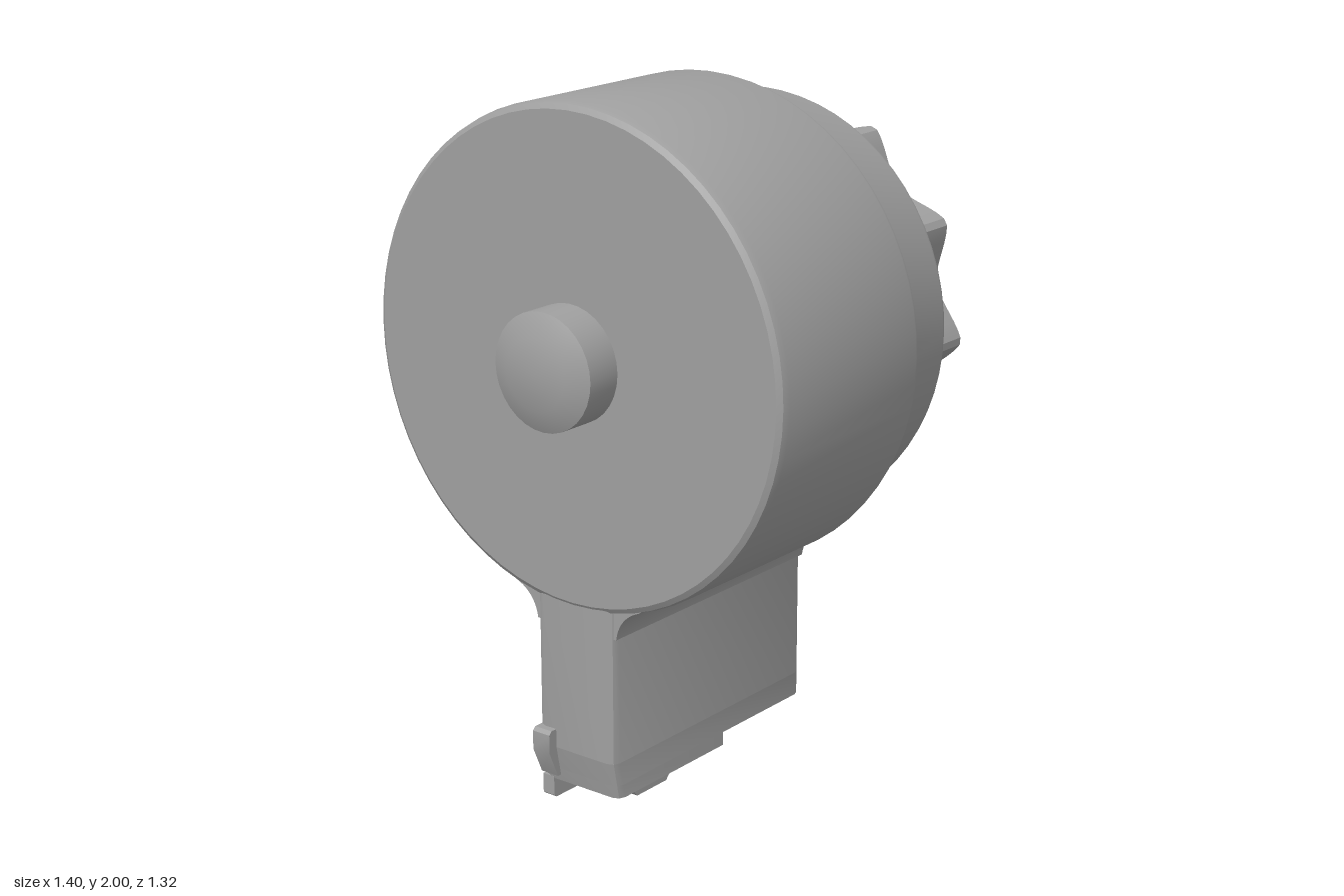
import * as THREE from 'three';
import { toCreasedNormals } from 'three/addons/utils/BufferGeometryUtils.js';

const CY = 1.3; // height of the drum axis

export function createModel() {
  const model = new THREE.Group();
  const grey = new THREE.MeshStandardMaterial({ color: 0xa0a0a0 });
  grey.name = 'grey polymer';

  const add = (name, geo, x = 0, y = 0, z = 0) => {
    const mesh = new THREE.Mesh(toCreasedNormals(geo, 0.5), grey);
    mesh.name = name;
    mesh.position.set(x, y, z);
    model.add(mesh);
    return mesh;
  };
  const shapeOf = (pts) => new THREE.Shape(pts.map(([a, b]) => new THREE.Vector2(a, b)));
  const extrude = (shape, depth) =>
    new THREE.ExtrudeGeometry(shape, { depth, bevelEnabled: false, curveSegments: 10 });

  // Turned parts: profile of [radius, z] pairs, from back to front
  const turned = (name, profile, segments) => {
    const geo = new THREE.LatheGeometry(profile.map(([r, z]) => new THREE.Vector2(r, z)), segments);
    add(name, geo.rotateX(Math.PI / 2), 0, CY, 0);
  };
  turned('drumBody', [[0, -0.36], [0.605, -0.36], [0.615, -0.354], [0.62, -0.34], [0.62, -0.125],
    [0.628, -0.11], [0.642, -0.103], [0.685, -0.103], [0.696, -0.098], [0.7, -0.085],
    [0.7, 0.49], [0.695, 0.51], [0.68, 0.52], [0, 0.52]], 64);
  turned('frontButton', [[0.165, 0.51], [0.165, 0.63], [0.1, 0.66], [0, 0.66]], 32);
  turned('backPin', [[0, -0.66], [0.098, -0.66], [0.11, -0.65], [0.114, -0.635], [0.114, -0.585],
    [0.125, -0.565], [0.13, -0.55]], 32);

  // Winding knob with ten scalloped grips
  const knobPts = [];
  const steps = 160;
  for (let i = 0; i < steps; i++) {
    const a = (i / steps) * Math.PI * 2;
    const wave = Math.abs(Math.sin(5 * (a - THREE.MathUtils.degToRad(100))));
    const r = 0.56 - 0.085 * Math.pow(wave, 1.3);
    knobPts.push([r * Math.cos(a), r * Math.sin(a)]);
  }
  const knob = new THREE.ExtrudeGeometry(shapeOf(knobPts), {
    depth: 0.19, bevelEnabled: true, bevelThickness: 0.018, bevelSize: 0.016,
    bevelOffset: -0.016, bevelSegments: 1,
  });
  add('windingKnob', knob, 0, CY, -0.542);

  // Flared neck joining the drum to the tower
  const neckShape = (topX, topY) => {
    const s = new THREE.Shape();
    s.moveTo(-0.14, 0.54);
    s.lineTo(0.14, 0.54);
    s.quadraticCurveTo(0.15, 0.61, topX, topY);
    s.lineTo(0.15, 0.85);
    s.lineTo(-0.15, 0.85);
    s.lineTo(-topX, topY);
    s.quadraticCurveTo(-0.15, 0.61, -0.14, 0.54);
    return s;
  };
  add('frontNeck', extrude(neckShape(0.22, 0.637), 0.605), 0, 0, -0.1);
  add('backNeck', extrude(neckShape(0.26, 0.738), 0.26), 0, 0, -0.358);

  // Tower: hollow rounded tube, open at the bottom, front tapering near the mouth
  const W = 0.137, F = 0.515, B = -0.36, T = 0.022, C = 0.025, c = 0.008;
  const outline = (w, front, back, ch) => [
    [-w, -front + ch], [-w + ch * 0.3, -front + ch * 0.3], [-w + ch, -front],
    [w - ch, -front], [w - ch * 0.3, -front + ch * 0.3], [w, -front + ch],
    [w, -back - ch], [w - ch * 0.3, -back - ch * 0.3], [w - ch, -back],
    [-w + ch, -back], [-w + ch * 0.3, -back - ch * 0.3], [-w, -back - ch]];
  const ring = shapeOf(outline(W, F, B, C));
  ring.holes.push(shapeOf(outline(W - T, F - T, B + T, c)));
  const lipRing = shapeOf([
    ...outline(W, F, B, C).slice(0, 6), [W, -0.02], [W - T, -0.02],
    [W - T, -F + T], [-W + T, -F + T], [-W + T, -0.02], [-W, -0.02]]);
  const upright = (name, shape, y0, y1) => {
    const geo = extrude(shape, y1 - y0).rotateX(-Math.PI / 2).translate(0, y0, 0);
    const p = geo.attributes.position;
    for (let i = 0; i < p.count; i++) {
      if (p.getZ(i) > 0.4 && p.getY(i) < 0.17) p.setZ(i, p.getZ(i) - (0.17 - p.getY(i)) * 0.2);
    }
    add(name, geo);
  };
  upright('towerWalls', ring, 0.17, 0.62);
  upright('towerMouth', ring, 0.1, 0.17);
  upright('towerFrontRim', lipRing, 0.06, 0.1);
  add('follower', new THREE.BoxGeometry(2 * (W - T), 0.03, F - B - 2 * T), 0, 0.3, (F + B) / 2);

  // Parts drawn from the side as [z, y] points and given a width from x0 to x1
  const sideways = (name, pts, x0, x1) =>
    add(name, extrude(shapeOf(pts), x1 - x0).rotateY(-Math.PI / 2), x1, 0, 0);
  sideways('rightFeedLip', [[0.495, 0.065], [0.495, 0.008], [0.485, 0], [0.225, 0], [0.205, 0.018],
    [0.19, 0.045], [0.16, 0.065]], -0.14, -0.1);
  sideways('leftFeedLip', [[0.43, 0.065], [0.41, 0.042], [0.28, 0.042], [0.26, 0.065]], 0.07, 0.133);
  sideways('catchTab', [[0.49, 0.225], [0.49, 0.08], [0.51, 0.08], [0.545, 0.16], [0.545, 0.215],
    [0.535, 0.225]], -0.132, -0.072);

  // Arrow-shaped stop on the back wall
  add('backStop', extrude(shapeOf([[-0.055, 0.19], [0, 0.125], [0.055, 0.19]]), 0.03), 0, 0, -0.383);

  return model;
}
